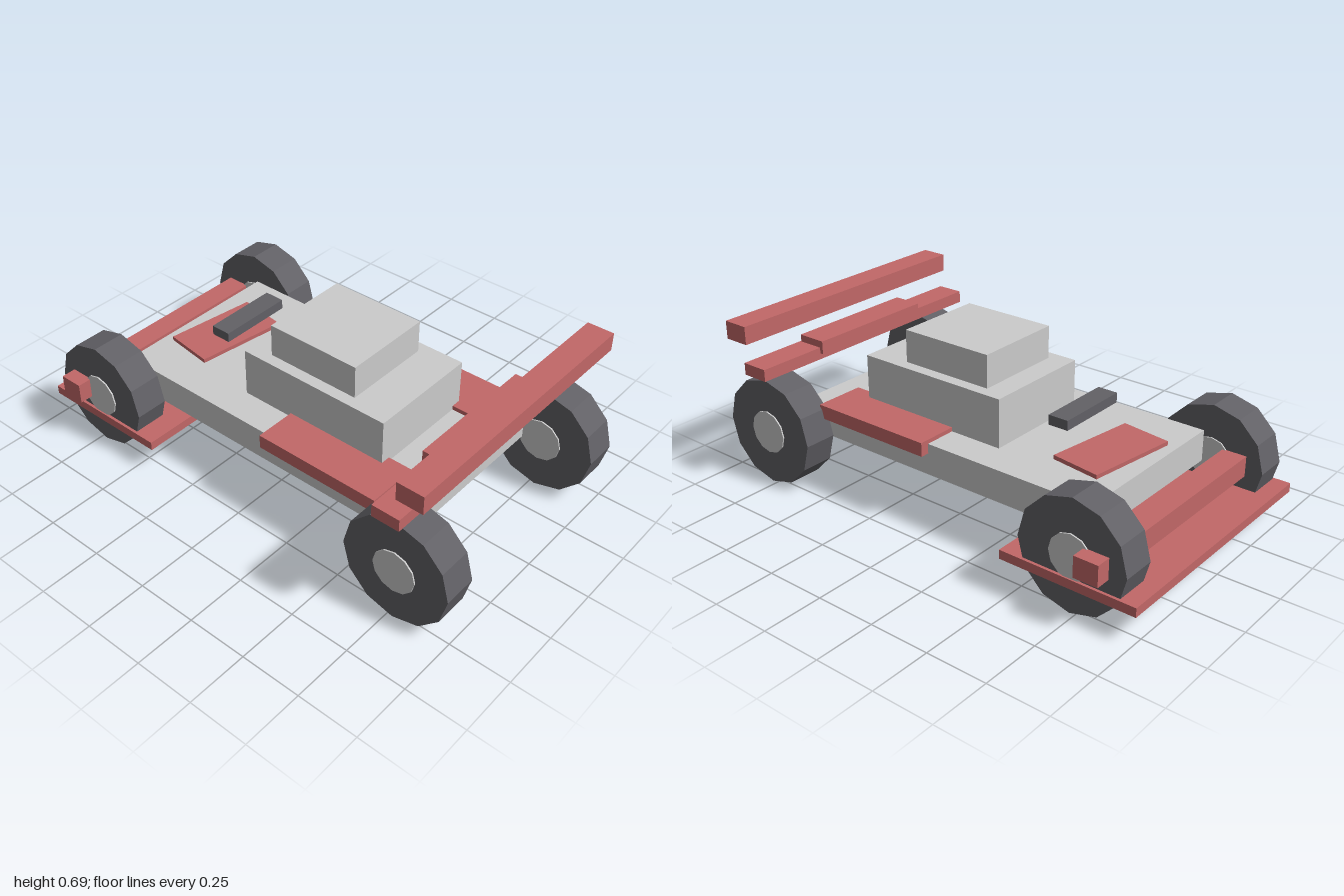
import * as THREE from 'three';

const grey = new THREE.MeshStandardMaterial({ color: 0xcccccc, flatShading: true });
const red = new THREE.MeshStandardMaterial({ color: 0xc26868, flatShading: true });
const dark = new THREE.MeshStandardMaterial({ color: 0x626166, flatShading: true });

// Box given by its [min, max] range on each axis
function box(name, material, [x0, x1], [y0, y1], [z0, z1]) {
  const mesh = new THREE.Mesh(new THREE.BoxGeometry(x1 - x0, y1 - y0, z1 - z0), material);
  mesh.position.set((x0 + x1) / 2, (y0 + y1) / 2, (z0 + z1) / 2);
  mesh.name = name;
  return mesh;
}

// Twelve-sided disc lying along the x axis
function disc(name, material, radius, width) {
  const geometry = new THREE.CylinderGeometry(radius, radius, width, 12).rotateZ(Math.PI / 2);
  const mesh = new THREE.Mesh(geometry, material);
  mesh.name = name;
  return mesh;
}

function wheel(name, x, z) {
  const group = new THREE.Group();
  group.name = name;
  group.add(disc('tire', dark, 0.225, 0.14), disc('hub', grey, 0.09, 0.152));
  group.position.set(x, 0.225, z);
  return group;
}

export function createModel() {
  const model = new THREE.Group();
  model.name = 'buggy';

  // Body: flat chassis with a stepped cabin
  model.add(
    box('chassis', grey, [-0.375, 0.375], [0.21, 0.34], [-0.7, 0.7]),
    box('cabin', grey, [-0.238, 0.238], [0.34, 0.54], [-0.185, 0.485]),
    box('cabinRoof', grey, [-0.19, 0.19], [0.54, 0.675], [-0.09, 0.315]),
  );

  // Front bars
  model.add(
    box('upperFrontBar', red, [-0.58, 0.58], [0.61, 0.685], [0.8, 0.91]),
    box('lowerFrontBar', red, [-0.58, 0.58], [0.48, 0.53], [0.705, 0.82]),
    box('frontBarPad', red, [-0.285, 0.285], [0.505, 0.56], [0.69, 0.815]),
  );

  // Rear parts
  model.add(
    box('rearPlate', red, [-0.54, 0.54], [0.105, 0.142], [-1, -0.43]),
    box('rearBeam', red, [-0.59, 0.59], [0.195, 0.28], [-0.88, -0.78]),
    box('rearBar', dark, [-0.158, 0.158], [0.46, 0.5], [-0.438, -0.353]),
  );
  const hatch = box('skewedHatch', red, [-0.195, 0.195], [0.335, 0.357], [-0.633, -0.42]);
  hatch.rotation.y = -0.14;
  model.add(hatch);

  // Mirrored side steps and wheels
  for (const [side, s] of [['left', 1], ['right', -1]]) {
    const xs = [0.197, 0.412].map((x) => x * s).sort((a, b) => a - b);
    model.add(
      box(side + 'SideStep', red, xs, [0.3, 0.357], [0.045, 0.588]),
      wheel(side + 'FrontWheel', s * 0.458, 0.772),
      wheel(side + 'RearWheel', s * 0.458, -0.727),
    );
  }
  return model;
}
